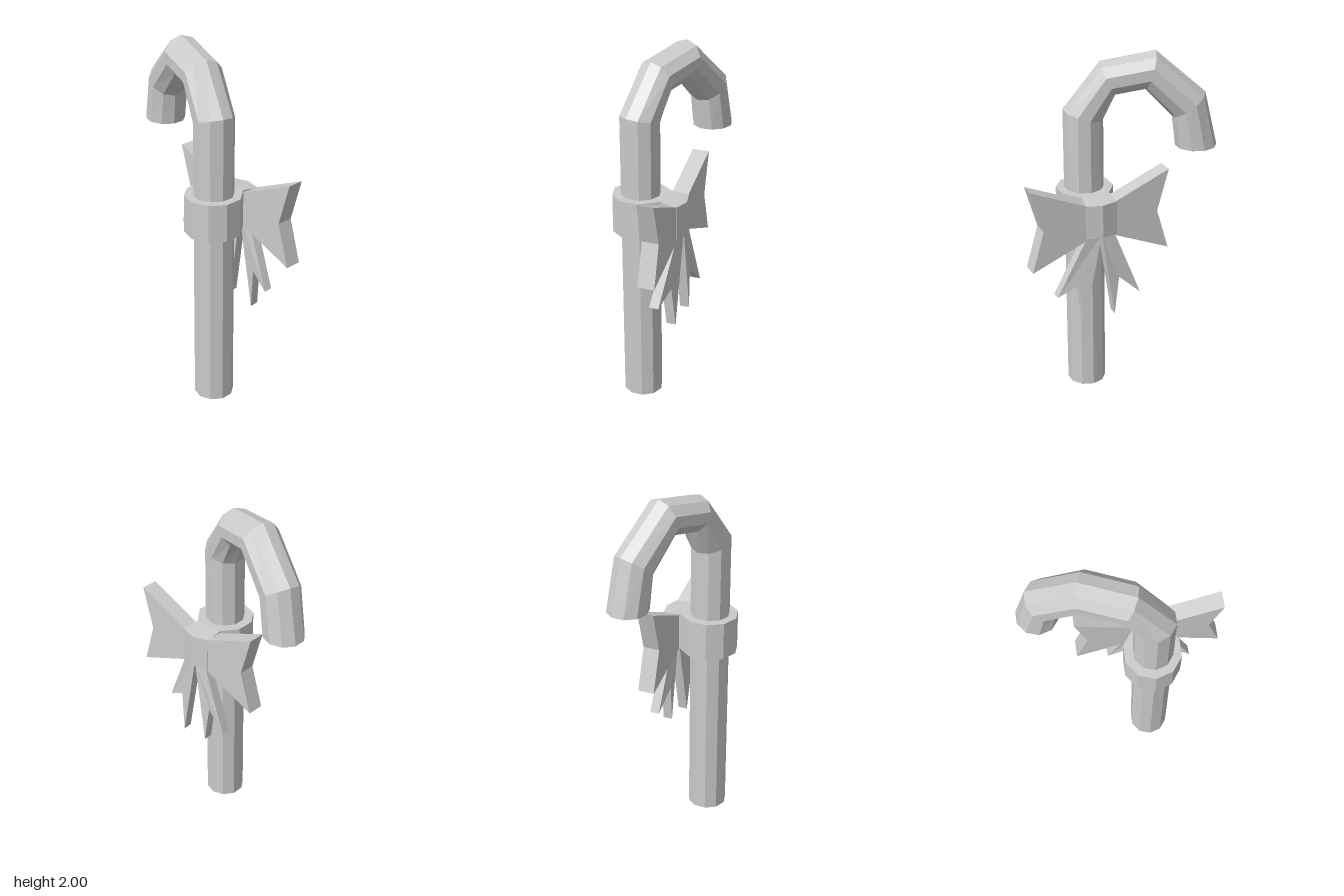
import * as THREE from 'three';

const material = new THREE.MeshStandardMaterial({ color: 0xcccccc, flatShading: true });

function addMesh(parent, name, geometry) {
  geometry.computeVertexNormals();
  const mesh = new THREE.Mesh(geometry, material);
  mesh.name = name;
  parent.add(mesh);
  return mesh;
}

// Faceted geometry from a flat list of triangle corners
const fromCorners = (corners) => new THREE.BufferGeometry().setFromPoints(corners);

const shapeOf = (points) => new THREE.Shape(points.map(([x, y]) => new THREE.Vector2(x, y)));

// Ten-sided hooked tube; every joint is given by its outer and inner [z, y]
function caneGeometry() {
  const sides = 10, radius = 0.11;
  const joints = [
    [0.31, 0, 0.09, 0],
    [0.31, 1.69, 0.09, 1.625],
    [0.11, 1.948, 0.022, 1.765],
    [-0.195, 2.0, -0.135, 1.79],
    [-0.465, 1.762, -0.284, 1.63],
    [-0.535, 1.458, -0.305, 1.458],
  ];
  const centre = ([oz, oy, iz, iy]) => new THREE.Vector3(-0.102, (oy + iy) / 2, (oz + iz) / 2);
  const point = (joint, k) => {
    const a = (k / sides) * Math.PI * 2;
    const [oz, oy, iz, iy] = joint;
    const half = new THREE.Vector3(0, (oy - iy) / 2, (oz - iz) / 2);
    const p = centre(joint).addScaledVector(half, Math.cos(a));
    p.x += radius * Math.sin(a);
    return p;
  };
  const corners = [];
  const last = joints[joints.length - 1];
  for (let k = 0; k < sides; k++) {
    for (let i = 0; i < joints.length - 1; i++) {
      const a = point(joints[i], k), b = point(joints[i], k + 1);
      const c = point(joints[i + 1], k + 1), d = point(joints[i + 1], k);
      corners.push(a, b, c, a, c, d);
    }
    corners.push(centre(joints[0]), point(joints[0], k + 1), point(joints[0], k));
    corners.push(centre(last), point(last, k), point(last, k + 1));
  }
  return fromCorners(corners);
}

// Ribbon strip: an outline facing +x, thickened by an offset
function ribbonGeometry(outline, offset) {
  const front = outline.map((p) => new THREE.Vector3(...p));
  const back = front.map((p) => p.clone().add(offset));
  const flat = front.map((p) => new THREE.Vector2(-p.z, p.y));
  const corners = [];
  for (const [a, b, c] of THREE.ShapeUtils.triangulateShape(flat, [])) {
    corners.push(front[a], front[b], front[c], back[a], back[c], back[b]);
  }
  front.forEach((p, i) => {
    const j = (i + 1) % front.length;
    corners.push(p, back[i], back[j], p, back[j], front[j]);
  });
  return fromCorners(corners);
}

export function createModel() {
  const model = new THREE.Group();
  model.name = 'candyCane';
  addMesh(model, 'cane', caneGeometry());

  // Band round the shaft, running out into the angular knot
  const ring = [];
  for (let k = 0; k < 7; k++) {
    const a = Math.PI / 2 + (k - 1) * Math.PI / 5;
    ring.push([-0.102 + 0.16 * Math.cos(a), -0.197 - 0.16 * Math.sin(a)]);
  }
  const bandOutline = [[0.06, -0.225], ...ring, [0, -0.07], [0.1, -0.035], [0.152, -0.115], [0.157, -0.21]];
  const band = new THREE.ExtrudeGeometry(shapeOf(bandOutline), { depth: 0.215, bevelEnabled: false });
  band.rotateX(-Math.PI / 2).translate(0, 1.02, 0);
  const pos = band.attributes.position;
  for (let i = 0; i < pos.count; i++) {
    // The knot is a little lower than the band
    if (pos.getX(i) > 0.09) pos.setY(i, 1.12 + (pos.getY(i) - 1.12) * 0.9);
  }
  addMesh(model, 'bandAndKnot', band);

  // Bow: two notched loops, mirrored, standing at an angle on the side
  const half = [[0.08, -0.1], [0.403, -0.237], [0.335, 0], [0.403, 0.237], [0.08, 0.1]];
  const bowOutline = [...half, ...half.map(([x, y]) => [-x, -y])];
  const bow = addMesh(model, 'bow',
    new THREE.ExtrudeGeometry(shapeOf(bowOutline), { depth: 0.095, bevelEnabled: false }).translate(0, 0, -0.095));
  bow.position.set(0.1275, 1.122, 0.1225);
  bow.rotation.y = Math.atan2(0.948, -0.317);

  // Hanging ribbon ends with swallowtail tips
  const inward = new THREE.Vector3(-0.05, 0, 0.019);
  addMesh(model, 'frontRibbonTail', ribbonGeometry([
    [0.165, 0.68, 0.37], [0.155, 0.75, 0.25], [0.16, 0.515, 0.22],
    [0.135, 1.04, 0.122], [0.152, 1.04, 0.2],
  ], inward));
  addMesh(model, 'backRibbonTail', ribbonGeometry([
    [0.135, 1.04, 0.12], [0.115, 0.535, 0.05], [0.1, 0.76, 0.024],
    [0.076, 0.647, -0.096], [0.108, 1.04, 0.05],
  ], inward));

  return model;
}
